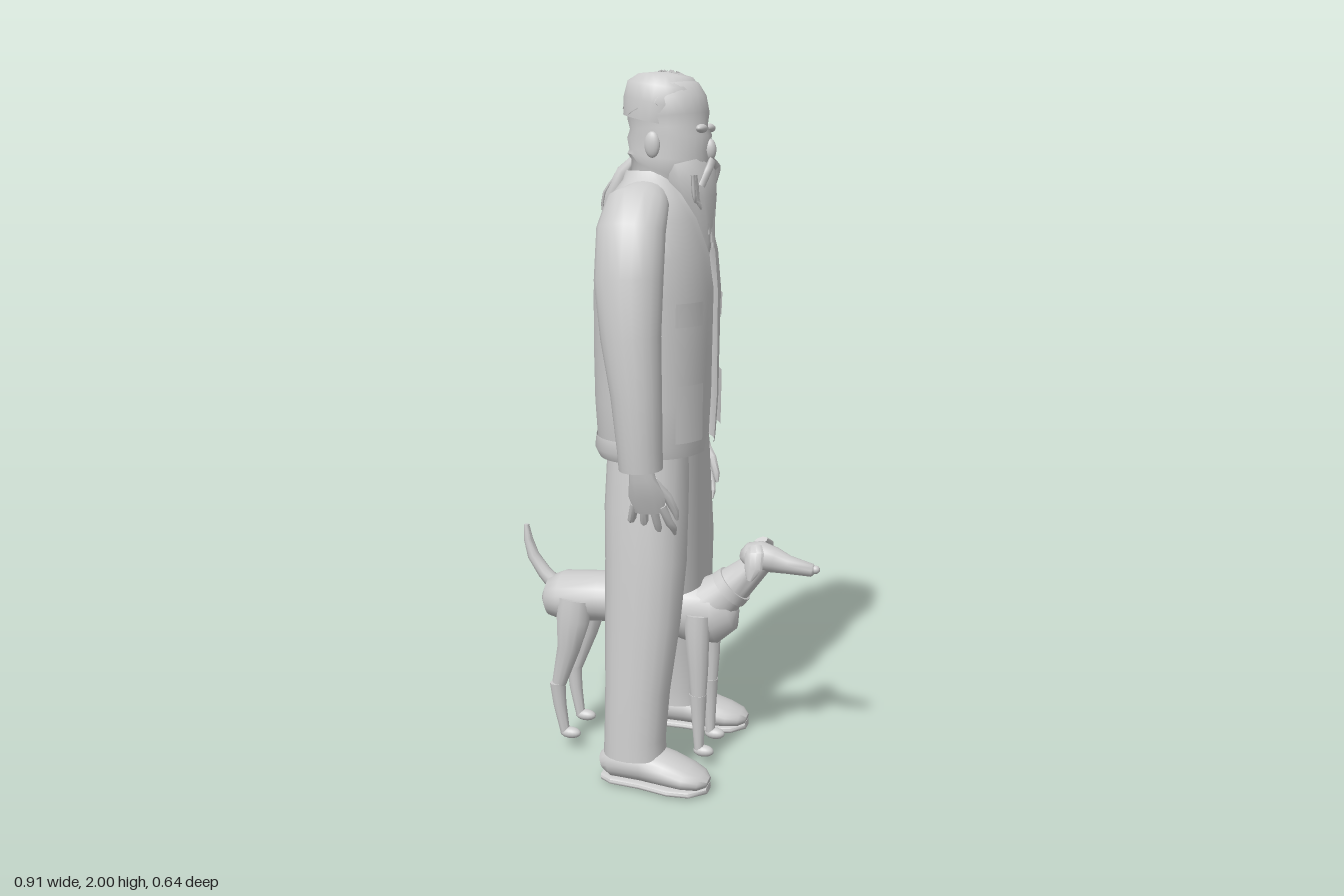
import * as THREE from 'three';
import { toCreasedNormals } from 'three/addons/utils/BufferGeometryUtils.js';

const TAU = Math.PI * 2;

// Skin over oval rings along a path. Ring: [x, y, z, radius in the xy plane, radius along z, start angle, end angle].
// On a rising path angle 0 points to +x. Rings with angles make open sheets.
function loft(rings, { sides = 20, power = 1, crease = 0.9 } = {}) {
  const pos = [], idx = [], n = sides + 1;
  const centre = rings.map(r => new THREE.Vector3(r[0], r[1], r[2]));
  const soft = v => Math.sign(v) * Math.pow(Math.abs(v), power);
  rings.forEach((r, i) => {
    const t = centre[Math.min(i + 1, rings.length - 1)].clone().sub(centre[Math.max(i - 1, 0)]).normalize();
    const u = new THREE.Vector3().crossVectors(t, new THREE.Vector3(0, 0, 1)).normalize();
    const v = new THREE.Vector3().crossVectors(t, u);
    const from = r[5] ?? 0, to = r[6] ?? TAU;
    for (let j = 0; j < n; j++) {
      const a = from + (to - from) * j / sides;
      const p = centre[i].clone().addScaledVector(u, r[3] * soft(Math.cos(a))).addScaledVector(v, r[4] * soft(Math.sin(a)));
      pos.push(p.x, p.y, p.z);
      if (i && j) {
        const b = i * n + j, c = b - n;
        idx.push(c - 1, c, b - 1, c, b, b - 1);
      }
    }
  });
  if (rings[0][5] === undefined) {
    const last = rings.length - 1, s = pos.length / 3;
    pos.push(...centre[0].toArray(), ...centre[last].toArray());
    for (let j = 0; j < sides; j++) idx.push(s, j + 1, j, s + 1, last * n + j, last * n + j + 1);
  }
  const g = new THREE.BufferGeometry();
  g.setAttribute('position', new THREE.Float32BufferAttribute(pos, 3));
  g.setIndex(idx);
  return toCreasedNormals(g, crease);
}

function seeded(seed) {
  return () => (seed = (seed * 16807) % 2147483647) / 2147483647;
}

export function createModel() {
  const model = new THREE.Group();
  const grey = new THREE.MeshStandardMaterial({ color: 0xcccccc, side: THREE.DoubleSide });
  grey.name = 'plainGrey';
  const man = new THREE.Group(), dog = new THREE.Group();
  man.name = 'man';
  dog.name = 'dog';
  model.add(man, dog);
  const add = (parent, name, geometry) => {
    const m = new THREE.Mesh(geometry, grey);
    m.name = name;
    parent.add(m);
    return m;
  };
  const ball = (parent, name, [x, y, z], [a, b, c]) => {
    const m = add(parent, name, new THREE.SphereGeometry(1, 16, 12));
    m.position.set(x, y, z);
    m.scale.set(a, b, c);
    return m;
  };
  const strand = (parent, name, points, r) =>
    add(parent, name, new THREE.TubeGeometry(new THREE.CatmullRomCurve3(points.map(p => new THREE.Vector3(...p))), 6, r, 4));
  const rand = seeded(77), spread = w => (rand() - 0.5) * 2 * w;

  // head with brow and cheek folds
  add(man, 'head', loft([
    [-0.03, 1.6, 0, 0.075, 0.075], [-0.02, 1.68, 0, 0.085, 0.075], [0, 1.73, 0, 0.105, 0.083],
    [0.005, 1.765, 0, 0.118, 0.092], [0.005, 1.785, 0, 0.112, 0.086], [0.005, 1.82, 0, 0.118, 0.094],
    [0.003, 1.845, 0, 0.108, 0.088], [0.002, 1.875, 0, 0.114, 0.093], [-0.003, 1.92, 0, 0.11, 0.09],
    [-0.005, 1.96, 0, 0.09, 0.075], [-0.005, 1.985, 0, 0.04, 0.035]], { sides: 28 }));
  ball(man, 'nose', [0.12, 1.785, 0], [0.018, 0.03, 0.016]);
  for (const s of [1, -1]) {
    ball(man, 'ear', [-0.015, 1.8, s * 0.092], [0.022, 0.035, 0.012]);
    ball(man, 'brow', [0.108, 1.842, s * 0.04], [0.014, 0.012, 0.032]);
    strand(man, 'moustache', [[0.125, 1.755, s * 0.005], [0.128, 1.74, s * 0.035], [0.11, 1.69, s * 0.055]], 0.013);
  }

  // swept hair and its loose strands
  add(man, 'hair', loft([
    [-0.025, 1.86, 0, 0.1, 0.094], [-0.015, 1.91, 0, 0.108, 0.096], [-0.008, 1.955, 0, 0.104, 0.086],
    [-0.005, 1.982, 0, 0.075, 0.06], [-0.005, 1.992, 0, 0.02, 0.02]], { sides: 24 }));
  for (let i = 0; i < 75; i++) {
    const a = rand() * TAU, lift = rand() * 1.35, turn = spread(0.45), rise = spread(0.3);
    const at = k => {
      const e = Math.max(0, Math.min(1.45, lift + rise * k)), b = a + turn * k;
      return [-0.008 + 0.116 * Math.cos(e) * Math.cos(b), 1.875 + 0.12 * Math.sin(e), 0.097 * Math.cos(e) * Math.sin(b)];
    };
    strand(man, 'hairStrand', [at(0), at(0.5), at(1)], 0.0028);
  }

  // ponytail
  add(man, 'ponytail', loft([
    [-0.09, 1.76, 0, 0.015, 0.018], [-0.125, 1.72, 0, 0.025, 0.025], [-0.155, 1.66, 0, 0.028, 0.03],
    [-0.172, 1.61, 0, 0.02, 0.022], [-0.18, 1.56, 0, 0.005, 0.006]], { sides: 10 }));
  for (let i = 0; i < 10; i++) {
    const z = spread(0.026);
    strand(man, 'ponytailStrand', [[-0.12, 1.74, z * 0.5], [-0.168 - rand() * 0.015, 1.66, z], [-0.18, 1.56 + rand() * 0.04, z * 0.6]], 0.004);
  }

  // beard
  add(man, 'beard', loft([
    [0.05, 1.75, 0, 0.066, 0.084], [0.06, 1.71, 0, 0.076, 0.088], [0.075, 1.65, 0, 0.064, 0.074],
    [0.09, 1.58, 0, 0.045, 0.046], [0.105, 1.53, 0, 0.024, 0.022], [0.115, 1.5, 0, 0.005, 0.005]], { sides: 16 }));
  for (let i = 0; i < 24; i++) {
    const z = spread(0.08), d = 0.03 * (1 - Math.abs(z) / 0.08);
    strand(man, 'beardStrand', [[0.095 + d, 1.72, z], [0.1 + d, 1.65, z * 0.85], [0.115 + d * 0.5, 1.52 + Math.abs(z) + rand() * 0.04, z * 0.45]], 0.006);
  }

  // shirt beneath the open jacket
  add(man, 'shirt', loft([
    [-0.02, 0.9, 0, 0.125, 0.18], [-0.03, 1.1, 0, 0.145, 0.19], [-0.025, 1.4, 0, 0.145, 0.19],
    [-0.03, 1.58, 0, 0.125, 0.17], [-0.03, 1.69, 0, 0.08, 0.09]], { power: 0.85 }));
  const jacket = { sides: 36, power: 0.85 };
  const open = (x, y, a, b, gap) => [x, y, 0, a, b, gap, TAU - gap];
  add(man, 'jacket', loft([
    open(-0.03, 0.955, 0.155, 0.2, 0.19), open(-0.03, 0.98, 0.158, 0.205, 0.18), open(-0.03, 1.1, 0.166, 0.208, 0.14),
    open(-0.03, 1.25, 0.168, 0.21, 0.1), open(-0.028, 1.4, 0.168, 0.215, 0.07), open(-0.03, 1.5, 0.16, 0.215, 0.1),
    open(-0.035, 1.6, 0.14, 0.2, 0.25), open(-0.035, 1.66, 0.115, 0.165, 0.45), open(-0.035, 1.705, 0.085, 0.1, 0.65),
    open(-0.035, 1.73, 0.08, 0.08, 0.75)], jacket));
  add(man, 'jacketHem', loft([[-0.035, 0.94, 0, 0.15, 0.198, 1.2, TAU - 1.2], [-0.035, 0.965, 0, 0.162, 0.21, 1.2, TAU - 1.2],
    [-0.035, 1, 0, 0.158, 0.204, 1.2, TAU - 1.2]], jacket));

  // pockets lie just over the jacket front
  for (const [low, high] of [[1.32, 1.385], [1.0, 1.16]])
    for (const [from, to] of [[0.4, 0.95], [TAU - 0.95, TAU - 0.4]])
      add(man, 'pocket', loft([[-0.03, low, 0, 0.172, 0.215, from, to], [-0.03, high, 0, 0.174, 0.219, from, to]], { sides: 8, power: 0.85 }));

  // apron and trouser seat
  add(man, 'apron', loft([[-0.03, 0.55, 0, 0.143, 0.18, -1.15, 1.15], [-0.03, 0.75, 0, 0.142, 0.178, -1.15, 1.15],
    [-0.03, 0.98, 0, 0.14, 0.175, -1.15, 1.15]], { power: 0.85 }));
  add(man, 'trouserSeat', loft([[-0.02, 0.78, 0, 0.09, 0.14], [-0.025, 0.84, 0, 0.12, 0.19], [-0.03, 0.95, 0, 0.13, 0.19], [-0.03, 1.03, 0, 0.13, 0.18]]));

  for (const s of [1, -1]) {
    // trouser leg with a loose cuff
    add(man, 'trouserLeg', loft([
      [-0.025, 0.97, s * 0.09, 0.118, 0.105], [-0.025, 0.8, s * 0.115, 0.12, 0.105], [-0.02, 0.65, s * 0.142, 0.116, 0.097],
      [-0.022, 0.48, s * 0.167, 0.108, 0.087], [-0.03, 0.28, s * 0.192, 0.093, 0.08], [-0.034, 0.14, s * 0.204, 0.088, 0.079],
      [-0.034, 0.09, s * 0.205, 0.09, 0.082]], { power: 0.92 }));
    // shoe on a flat sole
    add(man, 'shoe', loft([
      [-0.128, 0.05, s * 0.205, 0.028, 0.035], [-0.1, 0.06, s * 0.205, 0.05, 0.058], [0, 0.065, s * 0.208, 0.055, 0.065],
      [0.07, 0.056, s * 0.214, 0.045, 0.072], [0.13, 0.045, s * 0.22, 0.034, 0.068], [0.17, 0.038, s * 0.222, 0.026, 0.05],
      [0.19, 0.034, s * 0.222, 0.012, 0.025]]));
    add(man, 'sole', loft([[-0.128, 0.012, s * 0.205, 0.011, 0.035], [-0.09, 0.012, s * 0.205, 0.012, 0.058], [0, 0.012, s * 0.21, 0.012, 0.06],
      [0.09, 0.012, s * 0.217, 0.012, 0.072], [0.15, 0.013, s * 0.222, 0.012, 0.062], [0.19, 0.016, s * 0.222, 0.01, 0.025]], { power: 0.6 }));
    // sleeve
    add(man, 'sleeve', loft([
      [-0.035, 1.655, s * 0.1, 0.07, 0.05], [-0.035, 1.645, s * 0.16, 0.088, 0.055], [-0.038, 1.58, s * 0.205, 0.095, 0.066],
      [-0.036, 1.45, s * 0.233, 0.095, 0.068], [-0.025, 1.3, s * 0.25, 0.083, 0.065], [-0.008, 1.15, s * 0.258, 0.07, 0.063],
      [0.002, 1.0, s * 0.259, 0.062, 0.06], [0.004, 0.945, s * 0.257, 0.06, 0.058]]));
    // hand
    add(man, 'palm', loft([
      [0.005, 0.98, s * 0.267, 0.032, 0.024], [0.01, 0.92, s * 0.262, 0.038, 0.022], [0.016, 0.87, s * 0.247, 0.052, 0.021],
      [0.02, 0.82, s * 0.23, 0.046, 0.016]], { sides: 12 }));
    for (let i = 0; i < 4; i++) {
      const x = 0.018 + (i - 1.5) * 0.026, out = (i - 1.5) * 0.01, tip = 0.73 + Math.abs(i - 1.7) * 0.014;
      add(man, 'finger', loft([[x, 0.84, s * 0.236, 0.013, 0.013], [x + out, 0.79, s * 0.218, 0.012, 0.012],
        [x + out * 1.5, tip + 0.02, s * 0.2, 0.01, 0.01], [x + out * 1.6, tip, s * 0.192, 0.004, 0.004]], { sides: 8 }));
    }
    add(man, 'thumb', loft([[0.035, 0.91, s * 0.25, 0.016, 0.014], [0.07, 0.865, s * 0.228, 0.014, 0.013],
      [0.088, 0.82, s * 0.212, 0.011, 0.011], [0.092, 0.795, s * 0.207, 0.004, 0.004]], { sides: 8 }));
  }

  // dog body, from rump to chest
  add(dog, 'body', loft([
    [-0.385, 0.46, 0, 0.025, 0.035], [-0.365, 0.46, 0, 0.06, 0.072], [-0.32, 0.465, 0, 0.074, 0.092], [-0.2, 0.475, 0, 0.074, 0.09],
    [-0.05, 0.475, 0, 0.075, 0.08], [0.07, 0.463, 0, 0.095, 0.08], [0.15, 0.463, 0, 0.093, 0.075], [0.195, 0.475, 0, 0.06, 0.05],
    [0.21, 0.48, 0, 0.02, 0.02]]));
  add(dog, 'neck', loft([[0.13, 0.49, 0, 0.078, 0.07], [0.19, 0.54, 0, 0.058, 0.052], [0.24, 0.59, 0, 0.046, 0.042], [0.285, 0.635, 0, 0.036, 0.036]]));
  add(dog, 'collar', loft([[0.185, 0.535, 0, 0.064, 0.058], [0.205, 0.555, 0, 0.06, 0.054]]));
  add(dog, 'dogHead', loft([
    [0.222, 0.645, 0, 0.015, 0.02], [0.24, 0.645, 0, 0.036, 0.038], [0.275, 0.645, 0, 0.044, 0.046], [0.32, 0.637, 0, 0.037, 0.036],
    [0.36, 0.627, 0, 0.027, 0.026], [0.43, 0.617, 0, 0.019, 0.017], [0.437, 0.616, 0, 0.01, 0.01]], { sides: 14 }));
  ball(dog, 'dogNose', [0.439, 0.62, 0], [0.013, 0.012, 0.012]);
  add(dog, 'tail', loft([[-0.35, 0.49, 0, 0.026, 0.026], [-0.39, 0.53, 0, 0.021, 0.021], [-0.425, 0.58, 0, 0.018, 0.018],
    [-0.44, 0.63, 0, 0.014, 0.014], [-0.445, 0.675, 0, 0.008, 0.008]], { sides: 10 }));
  for (const s of [1, -1]) {
    add(dog, 'dogEar', loft([[0.27, 0.68, s * 0.035, 0.022, 0.01], [0.275, 0.668, s * 0.06, 0.028, 0.011],
      [0.275, 0.63, s * 0.072, 0.026, 0.01], [0.265, 0.595, s * 0.078, 0.008, 0.005]], { sides: 10 }));
    // hind leg
    add(dog, 'thigh', loft([[-0.265, 0.48, s * 0.07, 0.05, 0.035], [-0.27, 0.42, s * 0.078, 0.052, 0.034], [-0.285, 0.33, s * 0.076, 0.036, 0.028],
      [-0.32, 0.21, s * 0.07, 0.022, 0.02]], { sides: 12 }));
    add(dog, 'hindShin', loft([[-0.325, 0.21, s * 0.07, 0.024, 0.022], [-0.32, 0.14, s * 0.068, 0.02, 0.018], [-0.305, 0.05, s * 0.066, 0.014, 0.015]], { sides: 12 }));
    ball(dog, 'hindPaw', [-0.288, 0.05, s * 0.066], [0.033, 0.017, 0.019]);
    // front leg
    add(dog, 'foreleg', loft([[0.11, 0.47, s * 0.062, 0.04, 0.028], [0.11, 0.4, s * 0.066, 0.036, 0.028], [0.113, 0.3, s * 0.064, 0.03, 0.025],
      [0.113, 0.22, s * 0.062, 0.024, 0.022]], { sides: 12 }));
    add(dog, 'foreShin', loft([[0.113, 0.225, s * 0.062, 0.026, 0.024], [0.114, 0.14, s * 0.062, 0.02, 0.018], [0.116, 0.05, s * 0.062, 0.014, 0.015]], { sides: 12 }));
    ball(dog, 'forePaw', [0.13, 0.048, s * 0.062], [0.031, 0.017, 0.019]);
  }
  return model;
}
